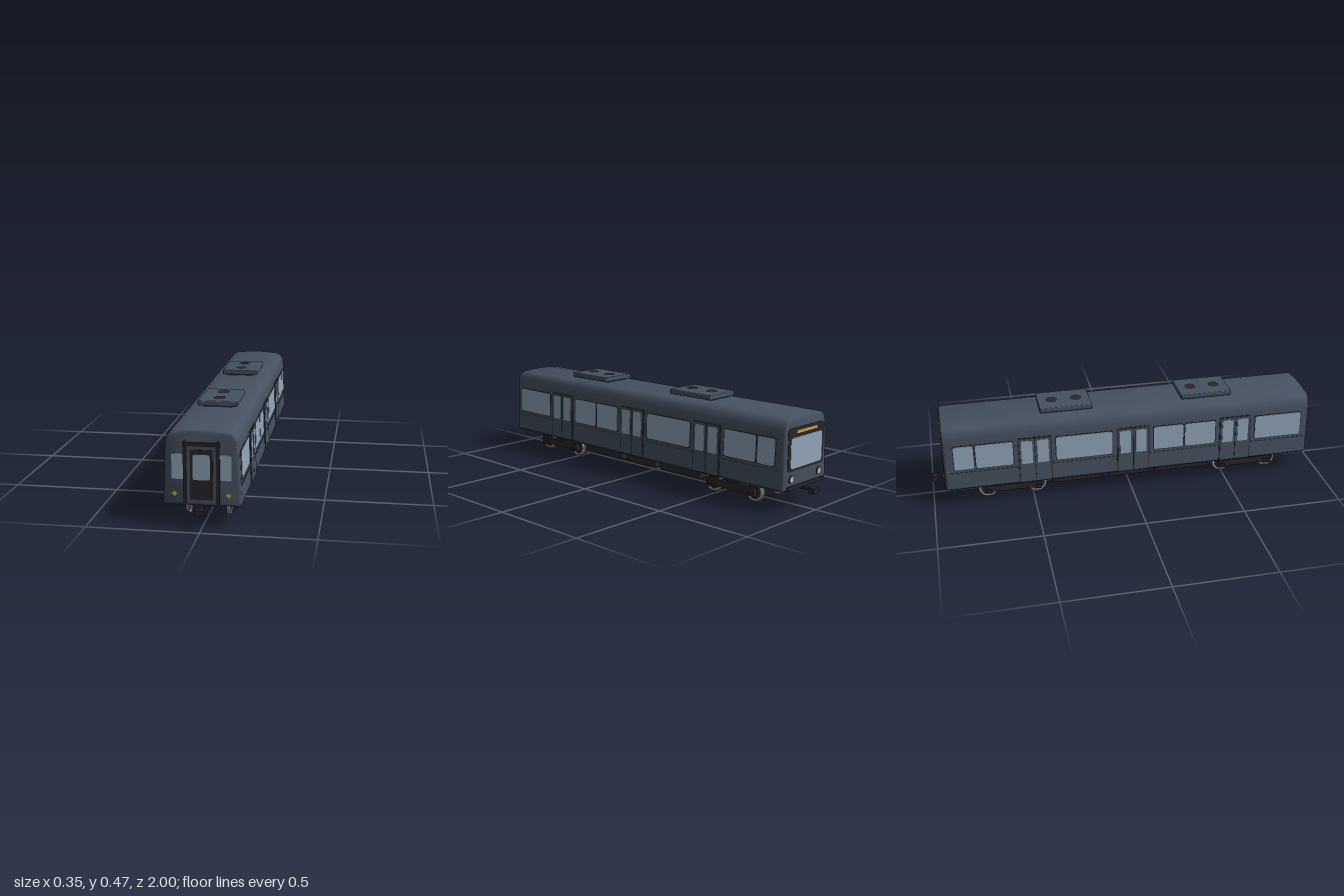
import * as THREE from 'three';
import { toCreasedNormals } from 'three/addons/utils/BufferGeometryUtils.js';
import { RoundedBoxGeometry } from 'three/addons/geometries/RoundedBoxGeometry.js';

const mat = (name, color) => {
  const m = new THREE.MeshStandardMaterial({ color });
  m.name = name;
  return m;
};
const paint = mat('slate paint', 0x465161);
const glass = mat('window glass', 0x92a6ba);
const dark = mat('dark trim', 0x28262b);
const steel = mat('wheel steel', 0xb4b4b8);
const amber = mat('amber lamp', 0xcaa84e);

function add(parent, name, geometry, material, x = 0, y = 0, z = 0) {
  const m = new THREE.Mesh(geometry, material);
  m.name = name;
  m.position.set(x, y, z);
  parent.add(m);
  return m;
}
function group(parent, name, x = 0, y = 0, z = 0) {
  const g = new THREE.Group();
  g.name = name;
  g.position.set(x, y, z);
  parent.add(g);
  return g;
}
const box = (w, h, d) => new THREE.BoxGeometry(w, h, d);

// Flat plate with rounded corners, its back on z = 0
function plate(w, h, r, depth) {
  const s = new THREE.Shape(), a = w / 2, b = h / 2;
  s.moveTo(-a + r, -b);
  s.lineTo(a - r, -b); s.quadraticCurveTo(a, -b, a, -b + r);
  s.lineTo(a, b - r); s.quadraticCurveTo(a, b, a - r, b);
  s.lineTo(-a + r, b); s.quadraticCurveTo(-a, b, -a, b - r);
  s.lineTo(-a, -b + r); s.quadraticCurveTo(-a, -b, -a + r, -b);
  return new THREE.ExtrudeGeometry(s, { depth, bevelEnabled: false, curveSegments: 4 });
}

// Carriage shell: arched section extruded along the length with rounded ends
function bodyShell() {
  const half = [[0.162, 0.1], [0.17, 0.11], [0.16, 0.36], [0.157, 0.388], [0.149, 0.408],
    [0.138, 0.422], [0.122, 0.43], [0.06, 0.436]];
  const pts = [...half, [0, 0.438], ...half.slice().reverse().map(([x, y]) => [-x, y])];
  const shape = new THREE.Shape(pts.map(([x, y]) => new THREE.Vector2(x, y)));
  const e = 0.016;
  const g = new THREE.ExtrudeGeometry(shape, {
    depth: 1.875 - 2 * e, bevelThickness: e, bevelSize: e, bevelOffset: -e, bevelSegments: 4 });
  g.translate(0, 0, -0.936 + e);
  return toCreasedNormals(g, 0.6);
}

// Leaning side wall: windows, double doors and belt rail
function side(parent, s) {
  const wall = group(parent, s > 0 ? 'leftSide' : 'rightSide', s * 0.17, 0.11, 0);
  wall.rotation.z = s * 0.04;
  const put = (name, z0, z1, y0, y1, r, depth, m) => {
    const p = add(wall, name, plate(Math.abs(z0 - z1), y1 - y0, r, depth), m, 0, (y0 + y1) / 2 - 0.11, (z0 + z1) / 2);
    p.rotation.y = s * Math.PI / 2;
  };
  const windows = [[0.896, 0.65], [0.436, 0.278], [0.268, 0.115], [-0.099, -0.382], [-0.596, -0.778], [-0.789, -0.885]];
  for (const [a, b] of windows) {
    put('windowSeal', a + 0.004, b - 0.004, 0.211, 0.344, 0.012, 0.001, dark);
    put('sideWindow', a, b, 0.215, 0.34, 0.01, 0.003, glass);
  }
  for (const c of [0.543, 0.008, -0.488]) {
    put('doorSurround', c + 0.083, c - 0.083, 0.108, 0.352, 0.004, 0.002, dark);
    for (const d of [-1, 1]) {
      const m = c + d * 0.04;
      put('doorLeaf', m + 0.038, m - 0.038, 0.11, 0.348, 0.003, 0.005, paint);
      put('doorWindow', m + 0.028, m - 0.028, 0.213, 0.338, 0.008, 0.007, glass);
    }
  }
  for (const [a, b] of [[0.915, 0.628], [0.458, 0.093], [-0.077, -0.403], [-0.573, -0.91]])
    put('beltRail', a, b, 0.193, 0.199, 0.002, 0.003, paint);
}

// Gangway end
function frontEnd(parent) {
  const f = group(parent, 'frontEnd', 0, 0, 0.938);
  add(f, 'gangwayDoor', plate(0.128, 0.256, 0.002, 0.003), paint, 0, 0.241, 0);
  add(f, 'doorPanel', plate(0.098, 0.222, 0.003, 0.005), dark, 0, 0.241, 0);
  add(f, 'doorWindow', plate(0.074, 0.112, 0.01, 0.007), glass, 0, 0.274, 0);
  add(f, 'gangwayLintel', box(0.16, 0.015, 0.012), dark, 0, 0.375, 0.003);
  for (const s of [-1, 1]) {
    add(f, 'gangwayPost', box(0.013, 0.27, 0.012), dark, s * 0.072, 0.249, 0.003);
    add(f, 'postCap', new THREE.ConeGeometry(0.008, 0.014, 4), dark, s * 0.072, 0.387, 0.001);
    add(f, 'endWindow', plate(0.05, 0.112, 0.006, 0.004), glass, s * 0.104, 0.275, 0);
    const lamp = add(f, 'markerLamp', new THREE.CylinderGeometry(0.013, 0.013, 0.008, 4), amber, s * 0.117, 0.155, 0.001);
    lamp.rotation.x = Math.PI / 2;
  }
}

// Cab end
function backEnd(parent) {
  const b = group(parent, 'backEnd', 0, 0, -0.935);
  b.rotation.y = Math.PI;
  add(b, 'windscreenSurround', plate(0.276, 0.198, 0.02, 0.003), dark, 0, 0.288, 0);
  add(b, 'windscreen', plate(0.242, 0.142, 0.016, 0.005), glass, 0, 0.272, 0);
  add(b, 'signLamp', plate(0.16, 0.013, 0.002, 0.006), amber, 0, 0.367, 0);
  add(b, 'bumper', box(0.28, 0.018, 0.012), dark, 0, 0.112, 0);
  for (const s of [-1, 1]) {
    for (const [name, r, d, m] of [['lampRim', 0.019, 0.006, dark], ['headlamp', 0.015, 0.01, steel]])
      add(b, name, new THREE.CylinderGeometry(r, r, d, 16), m, s * 0.107, 0.153, 0.001).rotation.x = Math.PI / 2;
  }
}

// Wheel turned around its axle: steel tyre with flange, dark web and hub
const tyreProfile = [[0.039, -0.008], [0.052, -0.008], [0.052, -0.004], [0.048, -0.001], [0.047, 0.008], [0.039, 0.008], [0.039, -0.008]];
function wheel(parent, s, z) {
  const w = group(parent, 'wheel', s * 0.092, 0.053, z);
  w.rotation.z = -s * Math.PI / 2;
  const tyre = new THREE.LatheGeometry(tyreProfile.map(([r, y]) => new THREE.Vector2(r, y)), 28);
  add(w, 'tyre', toCreasedNormals(tyre, 0.5), steel);
  add(w, 'web', new THREE.CylinderGeometry(0.04, 0.04, 0.007, 24), dark);
  add(w, 'hub', new THREE.CylinderGeometry(0.015, 0.018, 0.02, 12), dark);
}

function bogie(parent, z) {
  const g = group(parent, 'bogie', 0, 0, z);
  add(g, 'transom', box(0.22, 0.035, 0.07), dark, 0, 0.065, 0);
  add(g, 'pivot', new THREE.CylinderGeometry(0.035, 0.035, 0.03, 12), dark, 0, 0.09, 0);
  for (const s of [-1, 1]) {
    add(g, 'sideFrame', box(0.02, 0.034, 0.21), dark, s * 0.115, 0.058, 0);
    for (const e of [-0.123, 0.123]) {
      wheel(g, s, e);
      add(g, 'axleBox', box(0.022, 0.042, 0.04), dark, s * 0.117, 0.056, e);
      add(g, 'axleCap', new THREE.CylinderGeometry(0.011, 0.011, 0.012, 8), dark, s * 0.13, 0.053, e).rotation.z = Math.PI / 2;
      for (let i = 0; i < 3; i++)
        add(g, 'springCoil', new THREE.TorusGeometry(0.009, 0.0035, 6, 12), dark, s * 0.117, 0.079 + i * 0.008, e).rotation.x = Math.PI / 2;
    }
  }
  for (const e of [-0.123, 0.123])
    add(g, 'axle', new THREE.CylinderGeometry(0.009, 0.009, 0.19, 10), dark, 0, 0.053, e).rotation.z = Math.PI / 2;
}

function roofUnit(parent, z) {
  const u = group(parent, 'roofUnit', 0, 0, z);
  add(u, 'unitBase', box(0.13, 0.016, 0.235), paint, 0, 0.437, 0);
  add(u, 'unitCasing', new RoundedBoxGeometry(0.184, 0.025, 0.262, 2, 0.005), paint, 0, 0.4535, 0);
  for (const d of [-0.062, 0.062]) {
    add(u, 'fan', new THREE.CylinderGeometry(0.026, 0.032, 0.004, 8), dark, 0, 0.467, d);
  }
}

export function createModel() {
  const car = new THREE.Group();
  car.name = 'railCarriage';
  add(car, 'bodyShell', bodyShell(), paint);
  add(car, 'floor', box(0.29, 0.006, 1.82), dark, 0, 0.1, 0);
  side(car, 1);
  side(car, -1);
  frontEnd(car);
  backEnd(car);
  roofUnit(car, 0.405);
  roofUnit(car, -0.315);
  bogie(car, 0.623);
  bogie(car, -0.602);

  // Equipment boxes under the floor
  for (const [a, b] of [[0.42, 0.136], [0.1, -0.104], [-0.142, -0.4]])
    add(car, 'equipmentBox', box(0.225, 0.054, a - b), dark, 0, 0.077, (a + b) / 2);

  // Couplers
  for (const s of [-1, 1]) {
    add(car, 'couplerBar', box(0.012, 0.01, 0.1), dark, 0, 0.09, s * 0.93);
    add(car, 'couplerHead', box(0.038, 0.027, 0.028), dark, 0, 0.089, s * 0.986);
  }
  return car;
}
